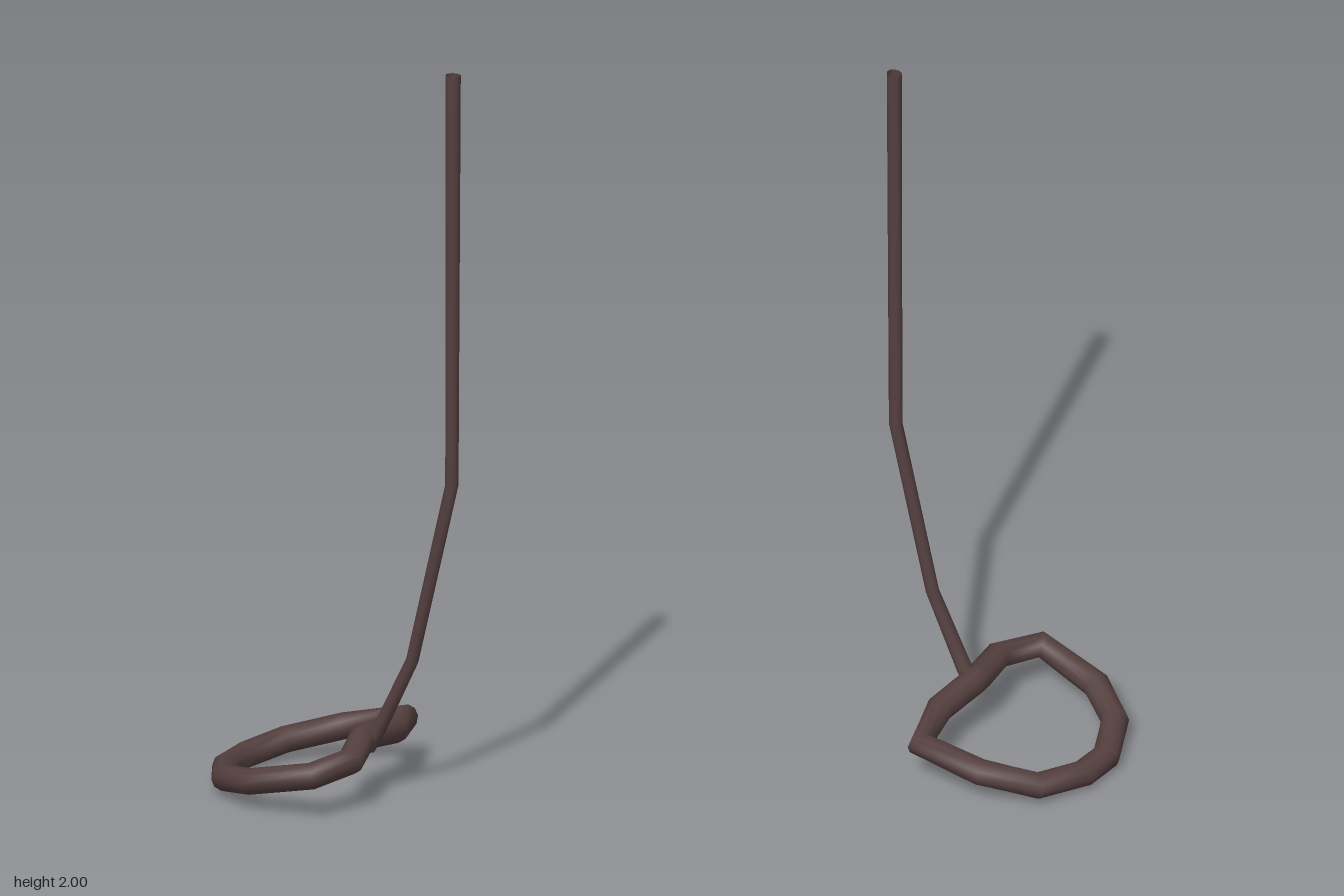
import * as THREE from 'three';

const SIDES = 10;

// Straight-sectioned tube through points [x, y, z, radiusA, radiusB], cut on the bisector at every bend
function sweep(points, closed, reference) {
  const n = points.length;
  const centres = points.map((p) => new THREE.Vector3(p[0], p[1], p[2]));
  const positions = [];
  const indices = [];
  for (let i = 0; i < n; i++) {
    const prev = centres[closed ? (i + n - 1) % n : Math.max(i - 1, 0)];
    const next = centres[closed ? (i + 1) % n : Math.min(i + 1, n - 1)];
    const before = centres[i].clone().sub(prev).normalize();
    const after = next.clone().sub(centres[i]).normalize();
    const tangent = before.add(after).normalize();
    const side = new THREE.Vector3().crossVectors(reference, tangent).normalize();
    const up = new THREE.Vector3().crossVectors(tangent, side);
    for (let j = 0; j < SIDES; j++) {
      const a = (j / SIDES) * Math.PI * 2;
      const v = centres[i].clone()
        .addScaledVector(side, Math.cos(a) * points[i][3])
        .addScaledVector(up, Math.sin(a) * points[i][4]);
      positions.push(v.x, v.y, v.z);
    }
  }
  const spans = closed ? n : n - 1;
  for (let i = 0; i < spans; i++) {
    for (let j = 0; j < SIDES; j++) {
      const k = (j + 1) % SIDES;
      const a = i * SIDES + j;
      const b = i * SIDES + k;
      const c = ((i + 1) % n) * SIDES + j;
      const d = ((i + 1) % n) * SIDES + k;
      indices.push(a, b, c, b, d, c);
    }
  }
  const geometry = new THREE.BufferGeometry();
  geometry.setAttribute('position', new THREE.Float32BufferAttribute(positions, 3));
  geometry.setIndex(indices);
  geometry.computeVertexNormals();
  return geometry;
}

export function createModel() {
  const group = new THREE.Group();
  group.name = 'hoopOnStem';
  const darkBrown = new THREE.MeshStandardMaterial({ color: 0x533f3e, side: THREE.DoubleSide });
  darkBrown.name = 'darkBrown';

  // Tilted D-shaped hoop: curved front, raised crossbar
  const hoopPath = [
    [0.058, 0.125, -0.272],
    [-0.11, 0.087, -0.25],
    [-0.245, 0.053, -0.18],
    [-0.305, 0.039, -0.055],
    [-0.313, 0.037, 0.043],
    [-0.258, 0.05, 0.173],
    [-0.152, 0.077, 0.25],
    [0.032, 0.122, 0.272],
    [0.091, 0.136, 0.155],
    [0.068, 0.156, 0.03],
    [0.068, 0.156, -0.005],
    [0.091, 0.138, -0.13],
  ].map((p) => [...p, 0.037, 0.035]);
  const hoop = new THREE.Mesh(sweep(hoopPath, true, new THREE.Vector3(0, 1, 0)), darkBrown);
  hoop.name = 'hoop';
  group.add(hoop);

  // Bent stem rising from the crossbar, open at the top
  const stemPath = [
    [0.075, 0.135, 0.015, 0.026, 0.027],
    [0.108, 0.18, 0.015, 0.019, 0.024],
    [0.205, 0.385, 0.016, 0.017, 0.018],
    [0.318, 0.88, 0.016, 0.018, 0.017],
    [0.322, 2.0, 0.016, 0.021, 0.017],
  ];
  const stem = new THREE.Mesh(sweep(stemPath, false, new THREE.Vector3(0, 0, 1)), darkBrown);
  stem.name = 'stem';
  group.add(stem);

  return group;
}
